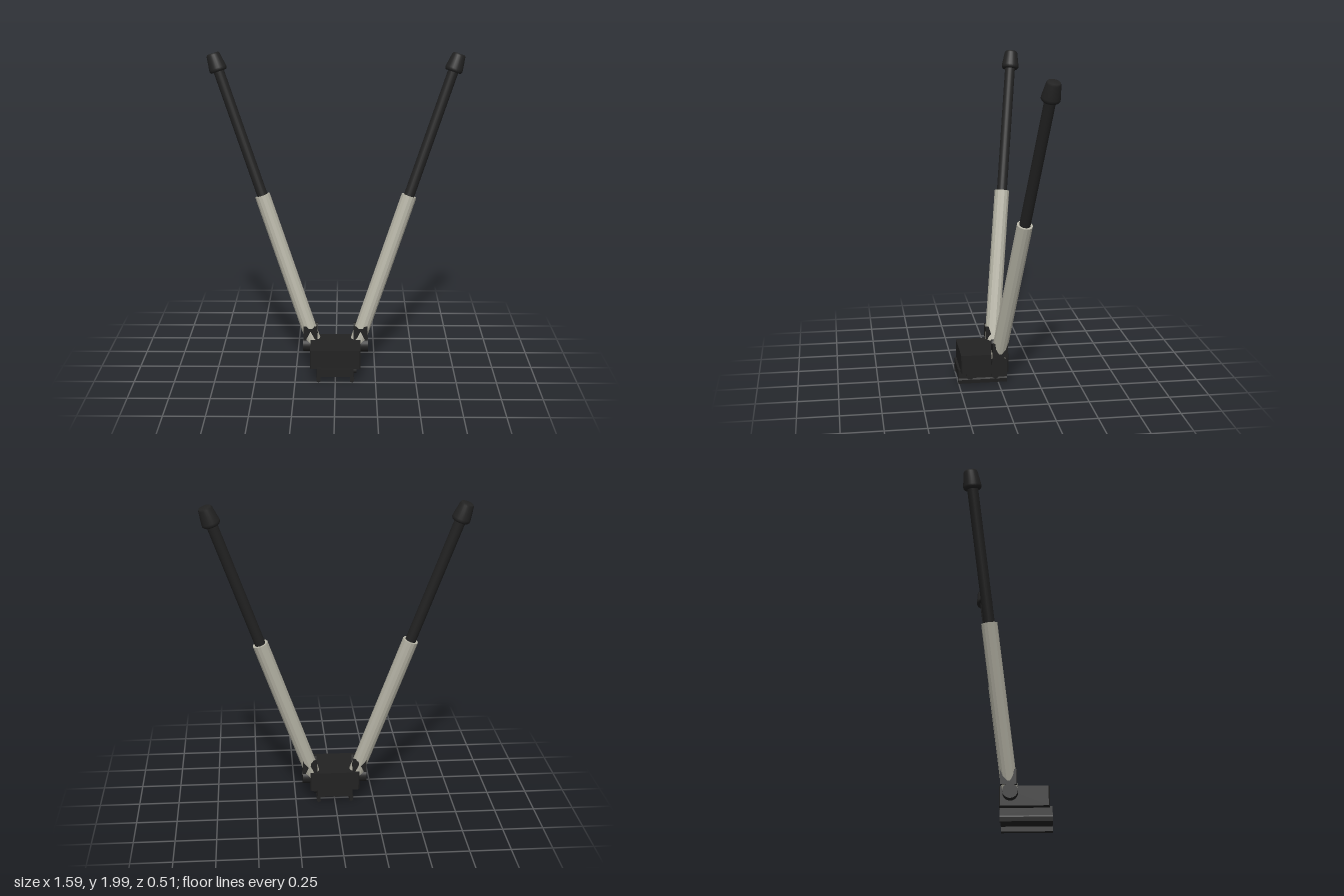
import * as THREE from 'three';

export function createModel() {
  const black = new THREE.MeshStandardMaterial({ color: 0x222222 });
  black.name = 'black metal';
  const grey = new THREE.MeshStandardMaterial({ color: 0xb6b4a6 });
  grey.name = 'warm grey sleeve';
  const facetGrey = grey;
  facetGrey.flatShading = true;

  const model = new THREE.Group();
  model.name = 'bipod';

  const add = (parent, name, geo, mat, x = 0, y = 0, z = 0) => {
    const mesh = new THREE.Mesh(geo, mat);
    mesh.name = name;
    mesh.position.set(x, y, z);
    parent.add(mesh);
    return mesh;
  };
  // box given by its limits
  const box = (name, x0, x1, y0, y1, z0, z1) =>
    add(model, name, new THREE.BoxGeometry(x1 - x0, y1 - y0, z1 - z0), black,
      (x0 + x1) / 2, (y0 + y1) / 2, (z0 + z1) / 2);
  // cylinder lying along x
  const pin = (name, r, x0, x1, y, z, sides = 24) => {
    const geo = new THREE.CylinderGeometry(r, r, x1 - x0, sides).rotateZ(Math.PI / 2);
    return add(model, name, geo, black, (x0 + x1) / 2, y, z);
  };
  // thin upright plate from an outline, centred on its thickness
  const plate = (points, depth) => {
    const shape = new THREE.Shape(points.map(([x, y]) => new THREE.Vector2(x, y)));
    return new THREE.ExtrudeGeometry(shape, { depth, bevelEnabled: false }).translate(0, 0, -depth / 2);
  };

  // body block with a slightly chamfered outline
  const w = 0.157, c = 0.008;
  const outline = [[-w + c, -0.058], [w - c, -0.058], [w, -0.05], [w, 0.23],
    [w - c, 0.238], [-w + c, 0.238], [-w, 0.23], [-w, -0.05]];
  add(model, 'body', plate(outline, 0.12).rotateX(Math.PI / 2), black, 0, 0.145, 0);

  // rail clamp below the body
  box('clampBlock', -0.105, 0.105, 0.038, 0.09, -0.055, 0.252);
  for (const s of [-1, 1]) {
    const jaw = plate([[-0.014, 0.095], [0.010, 0.095], [0.010, 0.04], [0.014, 0.03],
      [0.010, 0.005], [0, 0.002], [-0.012, 0.008], [-0.012, 0.04]], 0.307);
    if (s < 0) jaw.rotateY(Math.PI);
    add(model, s < 0 ? 'rightJaw' : 'leftJaw', jaw, black, s * 0.104, 0, 0.0985);
  }
  // clamp screws and their bar
  for (const z of [0.18, 0.02]) pin('clampScrew', 0.024, 0.1, 0.132, 0.06, z);
  box('clampBar', 0.1, 0.122, 0.052, 0.075, 0.03, 0.17);

  for (const s of [-1, 1]) {
    const side = s < 0 ? 'right' : 'left';

    // pivot at the side of the body
    const x0 = s < 0 ? -0.205 : 0.13;
    pin(side + 'Pivot', 0.045, x0, x0 + 0.075, 0.16, 0.008);

    // forked yoke around the foot of the sleeve
    const yoke = new THREE.Group();
    yoke.name = side + 'Yoke';
    yoke.position.set(s * 0.158, 0.2, -0.001);
    model.add(yoke);
    const arch = [[-0.045, 0], [-0.03, 0], [0, 0.06], [0.03, 0], [0.045, 0],
      [0.045, 0.09], [0.025, 0.09], [0.012, 0.075], [-0.012, 0.075], [-0.025, 0.09], [-0.045, 0.09]];
    const fork = [[-0.046, 0], [0.046, 0], [0.046, 0.09], [0.03, 0.09],
      [0.008, 0.02], [-0.008, 0.02], [-0.03, 0.09], [-0.046, 0.09]];
    for (const t of [-1, 1]) {
      add(yoke, 'archPlate', plate(arch, 0.012), black, 0, 0, t * 0.042);
      add(yoke, 'forkPlate', plate(fork, 0.012).rotateY(Math.PI / 2), black, t * 0.039, 0, 0);
    }

    // telescopic leg
    const leg = new THREE.Group();
    leg.name = side + 'Leg';
    leg.position.set(s * 0.135, 0.17, 0.007);
    const dir = new THREE.Vector3(s * 0.344, 1, -0.12).normalize();
    leg.quaternion.setFromUnitVectors(new THREE.Vector3(0, 1, 0), dir);
    model.add(leg);
    add(leg, 'sleeve', new THREE.CylinderGeometry(0.048, 0.048, 1.0, 14), facetGrey, 0, 0.5, 0);
    add(leg, 'innerTube', new THREE.CylinderGeometry(0.033, 0.033, 0.9, 20), black, 0, 1.41, 0);

    // rubber foot
    const profile = [[0, 1.812], [0.048, 1.812], [0.055, 1.822], [0.055, 1.835],
      [0.042, 1.918], [0.036, 1.928], [0, 1.928]];
    add(leg, 'foot', new THREE.LatheGeometry(profile.map(([r, y]) => new THREE.Vector2(r, y)), 24), black);
  }
  return model;
}
